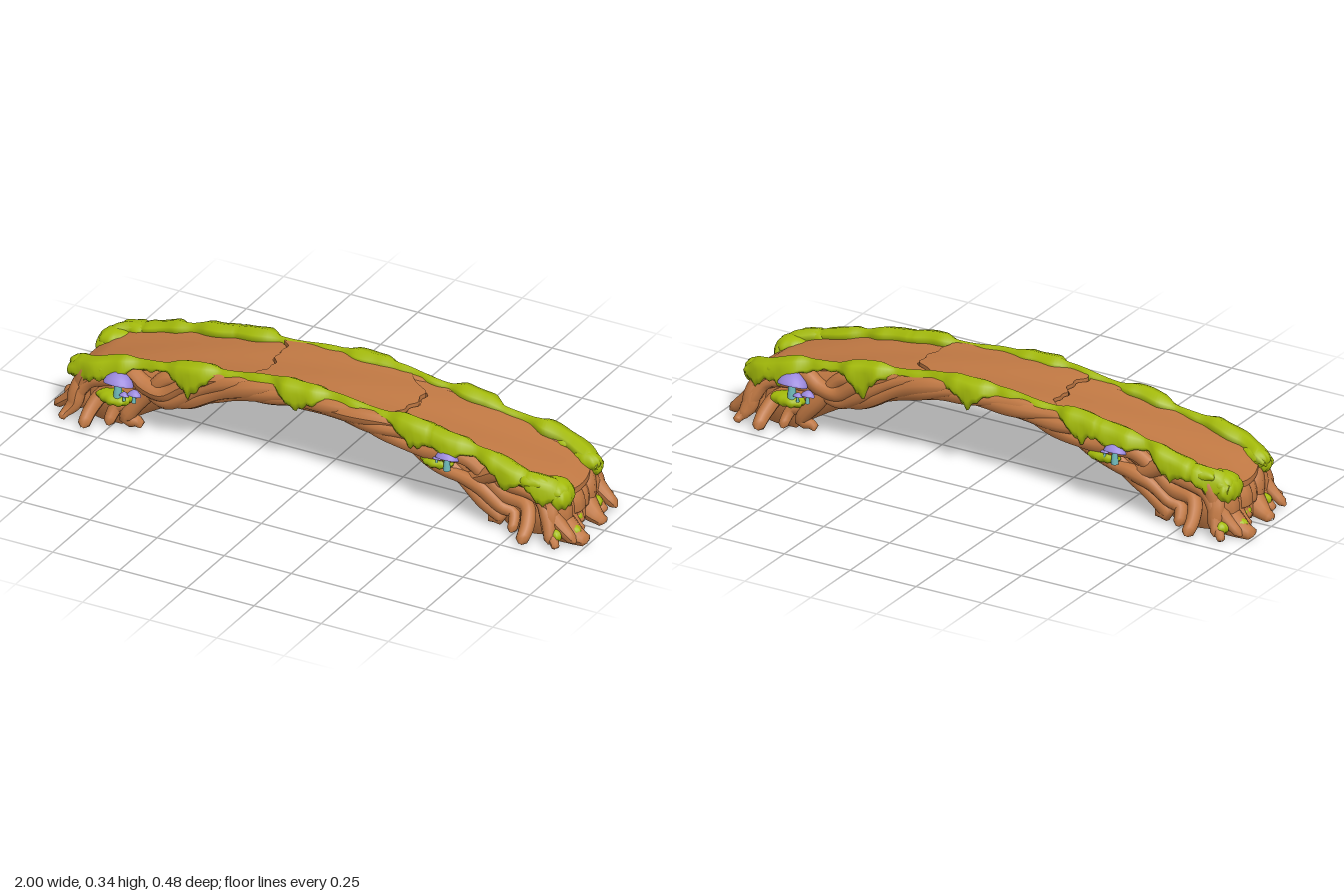
import * as THREE from 'three';

const mat = (name, color, side = THREE.FrontSide) => {
  const m = new THREE.MeshStandardMaterial({ color, side });
  m.name = name;
  return m;
};
const { sin, cos, abs, max, min, PI } = Math;
const smooth = THREE.MathUtils.smoothstep;
const lerp = THREE.MathUtils.lerp;

// Arch curves: walking surface and lower envelope of the roots
const deckY = x => 0.312 - 0.165 * x * x;
const underY = x => max(0, 0.245 - 0.485 * x * x);

// Skin over a row of closed rings running along +x, with flat end caps
function loft(rings) {
  const n = rings[0].length, pos = [], idx = [];
  rings.forEach(r => r.forEach(p => pos.push(...p)));
  for (let i = 0; i < rings.length - 1; i++)
    for (let j = 0; j < n; j++) {
      const a = i * n + j, b = i * n + (j + 1) % n;
      idx.push(a, b, b + n, a, b + n, a + n);
    }
  [[rings[0], true], [rings[rings.length - 1], false]].forEach(([r, flip]) => {
    const c = pos.length / 3;
    const mid = r.reduce((s, p) => s.map((v, k) => v + p[k] / n), [0, 0, 0]);
    pos.push(...mid);
    r.forEach(p => pos.push(...p));
    for (let j = 0; j < n; j++) {
      const a = c + 1 + j, b = c + 1 + (j + 1) % n;
      flip ? idx.push(c, b, a) : idx.push(c, a, b);
    }
  });
  const g = new THREE.BufferGeometry();
  g.setAttribute('position', new THREE.Float32BufferAttribute(pos, 3));
  g.setIndex(idx);
  g.computeVertexNormals();
  return g;
}

// Tapered root along a smooth path, flattened where it meets the ground
function rootGeometry(points, radius, steps, taper) {
  const curve = new THREE.CatmullRomCurve3(points.map(p => new THREE.Vector3(...p)));
  const sides = 10, g = new THREE.TubeGeometry(curve, steps, radius, sides);
  const pos = g.attributes.position, v = new THREE.Vector3();
  for (let i = 0; i <= steps; i++) {
    const t = i / steps, c = curve.getPointAt(t);
    for (let j = 0; j <= sides; j++) {
      const k = i * (sides + 1) + j;
      v.fromBufferAttribute(pos, k).sub(c).multiplyScalar(taper(t)).add(c);
      pos.setXYZ(k, v.x, max(0, v.y), v.z);
    }
  }
  g.computeVertexNormals();
  return g;
}

export function createModel() {
  const bark = mat('bark brown', 0xc07843);
  const moss = mat('moss green', 0xa4bb0a);
  const capMat = mat('cap violet', 0x9a88dc, THREE.DoubleSide);
  const gillMat = mat('gill blue', 0x6296b4, THREE.DoubleSide);
  const stemMat = mat('stem teal', 0x6fb9ba, THREE.DoubleSide);
  const model = new THREE.Group();
  model.name = 'rootBridge';
  const add = (name, geo, m, parent = model) => {
    const mesh = new THREE.Mesh(geo, m);
    mesh.name = name;
    parent.add(mesh);
    return mesh;
  };

  // Core of the arch, hollowed along the underside and solid at both ends
  const core = [];
  for (let i = 0; i <= 70; i++) {
    const x = -0.875 + i * 0.025, t = deckY(x) - 0.016, u = underY(x);
    const k = 1 - 0.16 * smooth(abs(x), 0.8, 0.875);
    const lift = u > 0 ? 1 : 0, m = lerp(t, u, 0.55);
    core.push([[-0.125, t], [0, t - 0.004], [0.125, t], [0.135, m], [0.13, u + 0.014 * lift],
      [0.085, min(t - 0.02, u + 0.03 * lift)], [0, min(t - 0.012, u + 0.042 * lift)],
      [-0.085, min(t - 0.02, u + 0.03 * lift)], [-0.13, u + 0.014 * lift], [-0.135, m]]
      .map(([z, y]) => [x, y, z * k]));
  }
  add('archCore', loft(core), bark);

  // Three overlapping deck slabs with ragged, stepped edges
  const crackA = z => -0.225 + 0.012 * sin(z * 38) + 0.006 * sin(z * 110) - 0.05 * smooth(-z, 0.07, 0.14);
  const crackB = z => 0.3 + 0.01 * cos(z * 26) + 0.006 * sin(z * 95) - 0.08 * smooth(-z, 0.05, 0.13);
  const endX = z => 0.915 - 2.2 * z * z;
  const slabs = [[z => -endX(z), z => crackA(z) - 0.006, 0], [crackA, crackB, 0.009], [z => crackB(z) + 0.006, endX, -0.001]];
  slabs.forEach(([x0, x1, lift], i) => {
    const g = new THREE.BoxGeometry(1, 0.02, 0.27, 28, 1, 22), p = g.attributes.position;
    for (let k = 0; k < p.count; k++) {
      const z = p.getZ(k), x = lerp(x0(z), x1(z), p.getX(k) + 0.5);
      const wear = 0.0015 * sin(x * 9 + z * 30) + 0.15 * z * z;
      const droop = 0.02 * smooth(abs(x), 0.85, 0.92);
      p.setXYZ(k, x, deckY(x) + p.getY(k) - 0.012 + lift + wear - droop, z);
    }
    g.computeVertexNormals();
    add('deckSlab' + (i + 1), g, bark);
  });

  // Braided side roots that drop at the ends and fan out into feet
  const feet = [[0.65, 0.145], [0.75, 0.18], [0.815, 0.235], [0.9, 0.19], [0.97, 0.14]];
  const radii = [0.026, 0.025, 0.029, 0.026, 0.028];
  for (const s of [1, -1])
    for (let k = 0; k < 5; k++) {
      const mid = [];
      for (let i = 0; i <= 20; i++) {
        const x = -0.7 + i * 0.07;
        const a = x * (7.5 + 0.6 * k) * s + k * 2 * PI / 5;
        const v = lerp(0.5 + 0.5 * sin(a), k / 4, smooth(abs(x), 0.5, 0.72));
        mid.push([x, lerp(underY(x) + 0.024, deckY(x) - 0.022, v), s * (0.135 + 0.013 * cos(a))]);
      }
      const foot = e => {
        const [fx, fz] = feet[k], Y = mid[e < 0 ? 0 : 20][1], d = min(fx, 0.885) - 0.7;
        return [[0.7 + 0.75 * d, Y * 0.85, 0.138], [0.7 + 0.98 * d, Y * 0.4 + 0.008, lerp(0.138, fz, 0.45)],
          [fx, 0.012, fz]].map(([x, y, z]) => [e * x, y, s * z]);
      };
      const path = [...foot(-1).reverse(), ...mid, ...foot(1)];
      add('sideRoot', rootGeometry(path, radii[k], 130, t =>
        min(1, 0.6 + 8 * min(t, 1 - t)) * smooth(min(t, 1 - t), -0.004, 0.008) * (1 + 0.12 * sin(t * 50 + k))), bark);
    }

  // Thick roots spilling over both ends: top z, middle z, foot z, foot x, radius, top drop
  const endRoots = [[-0.095, -0.065, -0.03, 0.985, 0.044, 0.01], [-0.118, -0.12, -0.1, 0.95, 0.034, 0], [0.015, 0.015, 0.015, 0.92, 0.05, 0.034],
    [-0.03, -0.02, 0.0, 0.9, 0.045, 0.03], [0.095, 0.1, 0.11, 1.0, 0.052, 0.01], [0.055, 0.045, 0.05, 0.95, 0.036, 0.02],
    [0.12, 0.16, 0.2, 0.93, 0.03, 0], [-0.125, -0.165, -0.21, 0.91, 0.03, 0]];
  for (const e of [1, -1])
    endRoots.forEach(([z0, z1, z2, fx, r, drop]) => {
      const path = [[0.8, 0.16 - drop, z0], [0.855, 0.148 - drop, z0], [0.878, 0.1, lerp(z0, z1, 0.6)],
        [0.885, 0.05, z1], [lerp(0.9, fx, 0.45), 0.022, lerp(z1, z2, 0.6)], [fx, 0.01, z2]];
      add('endRoot', rootGeometry(path.map(([x, y, z]) => [e * x, y, e * z]), r, 36,
        t => (1 - 0.55 * smooth(t, 0.6, 1)) * smooth(1 - t, -0.01, 0.03) * smooth(t, -0.1, 0.1)), bark);
    });

  // Moss ridges along both edges, thin between the drips that hang down outside
  const drips = [[-0.86, 0.045], [-0.76, 0.04], [-0.45, 0.08], [-0.05, 0.055], [0.38, 0.055], [0.5, 0.045], [0.72, 0.055], [0.86, 0.05]];
  for (const s of [1, -1]) {
    const rings = [];
    for (let i = 0; i <= 184; i++) {
      const x = -0.92 + i * 0.01, e = deckY(x), tip = smooth(0.925 - abs(x), -0.01, 0.05);
      let drip = 0.006 + 0.004 * sin(x * 61 + s) + 0.003 * sin(x * 143), spread = 0;
      drips.forEach(([c, len]) => {
        const q = max(0, 1 - abs(x * s - c) / 0.11);
        drip += len * q * q * (1 + 0.15 * sin(x * 190));
        spread = max(spread, smooth(q, 0, 0.6));
      });
      const h = (0.018 + 0.007 * sin(x * 17 + s) * sin(x * 7) + 0.011 * spread) * tip;
      const inn = 0.122 - 0.016 * spread * tip - 0.004 * sin(x * 47);
      const shift = -0.035 * smooth(abs(x), 0.8, 0.93), out = 0.152 + 0.025 * spread + 0.003 * sin(x * 53);
      const ring = [[inn, e - 0.006], [inn + 0.006, e + h * 0.6], [0.138, e + h + 0.003], [out - 0.006, e + h * 0.75],
        [out, e - 0.002], [out + 0.008 * spread, e - drip * 0.6], [out + 0.002, e - drip - 0.006], [out - 0.016, e - drip * 0.8], [0.132, e - 0.015]]
        .map(([z, y]) => [x, y, s * (z + shift)]);
      rings.push(s > 0 ? ring : ring.reverse());
    }
    add('mossRidge', loft(rings), moss);
  }

  // Lumpy moss clumps with ragged hanging hems
  const clump = (x, y, z, rx, ry, rz) => {
    const g = new THREE.SphereGeometry(1, 36, 18), p = g.attributes.position;
    for (let k = 0; k < p.count; k++) {
      const X = p.getX(k), Y = p.getY(k), Z = p.getZ(k), a = Math.atan2(Z, X);
      const f = 1 + (0.08 * sin(3 * a + x * 20) + 0.05 * sin(9 * a)) * (1 - Y * Y);
      const hem = Y < 0 ? 1 + 0.35 * sin(9 * a + z * 30) * (1 - Y * Y) : 1;
      p.setXYZ(k, x + X * rx * f, max(0.002, y + Y * ry * hem), z + Z * rz * f);
    }
    g.computeVertexNormals();
    add('mossClump', g, moss);
  };
  for (const e of [1, -1]) {
    // Drapes over the corners
    clump(e * 0.87, 0.172, e * 0.1, 0.06, 0.036, 0.052);
    clump(e * 0.893, 0.15, e * 0.1, 0.044, 0.046, 0.056);
    clump(e * 0.87, 0.175, e * -0.112, 0.058, 0.034, 0.032);
    clump(e * 0.888, 0.155, e * -0.12, 0.04, 0.03, 0.026);
    clump(e * 0.8, 0.203, e * 0.14, 0.075, 0.026, 0.034);
    clump(e * 0.78, 0.205, e * -0.142, 0.07, 0.026, 0.034);
    // Patches on the feet
    [[0.945, 0.108, 0.022], [0.9, 0.015, 0.026], [0.91, -0.098, 0.024], [0.905, 0.165, 0.022]].forEach(([x, z, r]) =>
      clump(e * x, 0.038, e * z, 0.028, 0.022, r));
    // Ledges beneath the mushrooms
    clump(e * -0.73, 0.118, e * 0.17, 0.062, 0.024, 0.038);
    clump(e * 0.46, 0.188, e * 0.155, 0.058, 0.02, 0.028);
  }

  // Mushrooms: oval domed cap leaning toward the bridge, blue gills and a teal stem
  const mushroom = (x, y, z, r, tilt) => {
    const g = new THREE.Group(), head = new THREE.Group(), s = Math.sign(z);
    g.name = 'mushroom';
    head.name = 'mushroomHead';
    const lathe = pts => new THREE.LatheGeometry(pts.map(p => new THREE.Vector2(p[0] * r, p[1] * r)), 24);
    add('cap', lathe([[1, -0.12], [1.01, 0.02], [0.86, 0.28], [0.6, 0.52], [0.3, 0.74], [0, 0.82]]), capMat, head);
    add('gills', lathe([[0, 0.16], [0.5, 0.1], [1, -0.12]]), gillMat, head);
    head.scale.z = 0.76;
    head.rotation.x = -tilt * s;
    const stem = add('stem', new THREE.CylinderGeometry(0.2 * r, 0.32 * r, 1.2 * r, 12), stemMat, g);
    stem.position.set(0, -0.5 * r, 0.08 * r * s);
    g.add(head);
    g.position.set(x, y, z);
    model.add(g);
  };
  for (const s of [1, -1]) {
    mushroom(-0.71 * s, 0.18, 0.18 * s, 0.052, 0.35);
    mushroom(-0.645 * s, 0.157, 0.192 * s, 0.024, 0.3);
    mushroom(-0.68 * s, 0.148, 0.196 * s, 0.017, 0.3);
    mushroom(0.51 * s, 0.222, 0.172 * s, 0.04, 0.35);
    mushroom(0.472 * s, 0.21, 0.174 * s, 0.015, 0.3);
  }
  return model;
}
